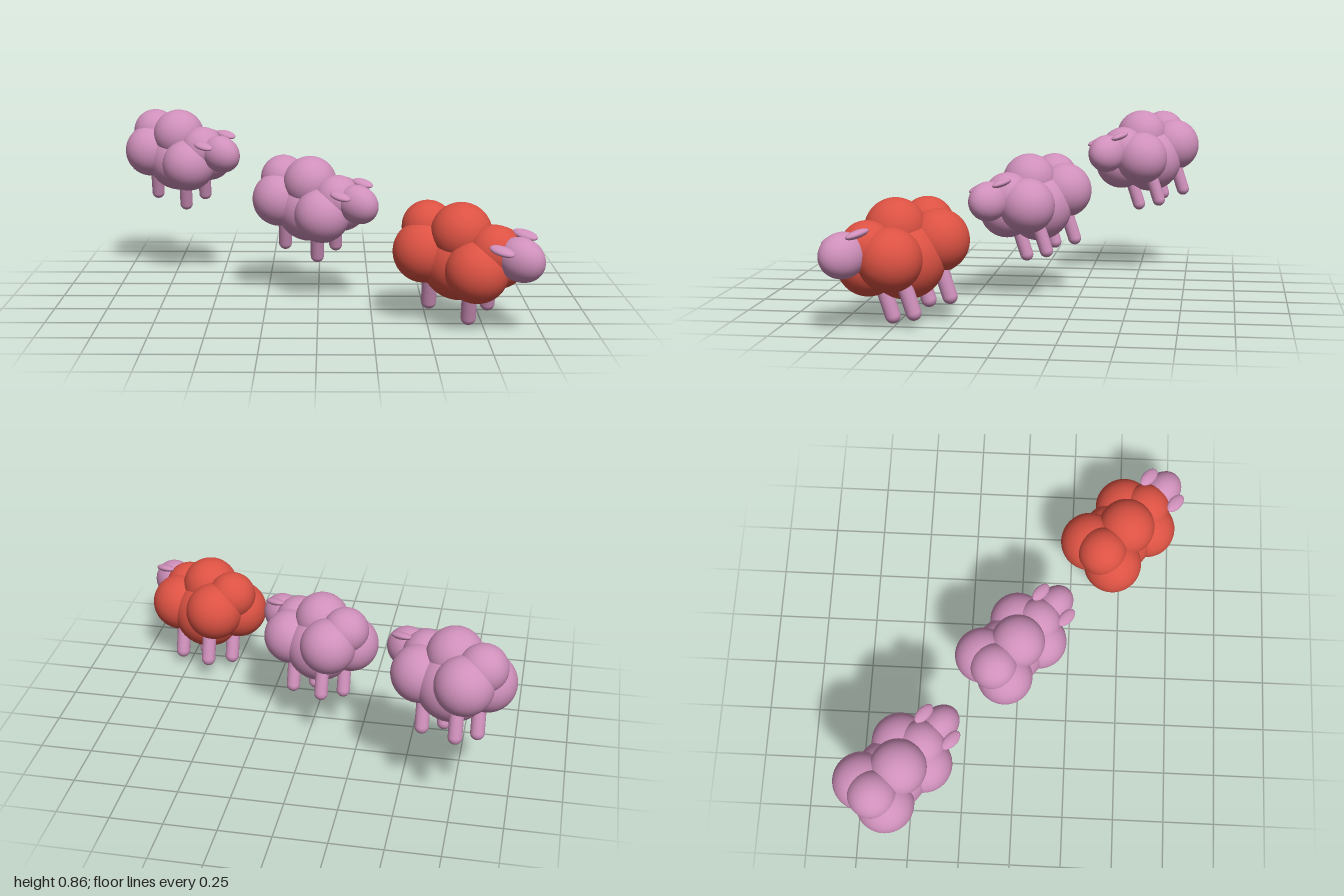
import * as THREE from 'three';

const pink = new THREE.MeshStandardMaterial({ color: 0xcf90bb });
pink.name = 'pink';
const red = new THREE.MeshStandardMaterial({ color: 0xdc5243 });
red.name = 'red';

const ball = new THREE.SphereGeometry(1, 40, 28);
const legShape = new THREE.CapsuleGeometry(0.035, 0.2, 8, 20);

function blob(parent, name, material, position, size) {
  const mesh = new THREE.Mesh(ball, material);
  mesh.name = name;
  mesh.position.set(...position);
  mesh.scale.set(...size);
  parent.add(mesh);
}

// One sheep standing on y = 0 and facing +z
function makeSheep(woolMaterial) {
  const sheep = new THREE.Group();
  const wool = (name, x, y, z, r) => blob(sheep, name, woolMaterial, [x, y, z], [r, r, r]);

  // Fleece: a core with puffs along the back
  wool('woolCore', 0, 0.258, 0, 0.18);
  wool('woolTop', 0, 0.403, 0, 0.14);
  wool('woolRump', 0, 0.375, -0.183, 0.12);
  wool('woolNeck', 0, 0.37, 0.18, 0.122);

  // Head
  blob(sheep, 'head', pink, [0, 0.38, 0.316], [0.09, 0.102, 0.115]);

  for (const side of [-1, 1]) {
    blob(sheep, 'ear', pink, [side * 0.094, 0.451, 0.274], [0.032, 0.018, 0.062]);
    for (const end of [-1, 1]) {
      // Shoulder and haunch puffs
      wool(end > 0 ? 'woolShoulder' : 'woolHaunch', side * 0.08, 0.292, end * 0.144, 0.144);
      // Round-ended legs
      const leg = new THREE.Mesh(legShape, pink);
      leg.name = end > 0 ? 'frontLeg' : 'backLeg';
      leg.position.set(side * 0.078, 0.135, end * 0.11);
      sheep.add(leg);
    }
  }
  return sheep;
}

export function createModel() {
  const model = new THREE.Group();
  model.name = 'sheepRow';

  // Three sheep in line on a slope, the leader larger and red
  const slope = new THREE.Group();
  slope.name = 'slope';
  slope.rotation.x = THREE.MathUtils.degToRad(18);
  model.add(slope);

  const row = [
    ['leadSheep', red, 1, [0.648, 0.168, 0.35]],
    ['middleSheep', pink, 0.922, [-0.04, 0.175, -0.18]],
    ['lastSheep', pink, 0.922, [-0.725, 0.173, -0.712]],
  ];
  for (const [name, material, size, position] of row) {
    const sheep = makeSheep(material);
    sheep.name = name;
    sheep.position.set(...position);
    sheep.rotation.y = 0.899;
    sheep.scale.setScalar(size);
    slope.add(sheep);
  }
  return model;
}
